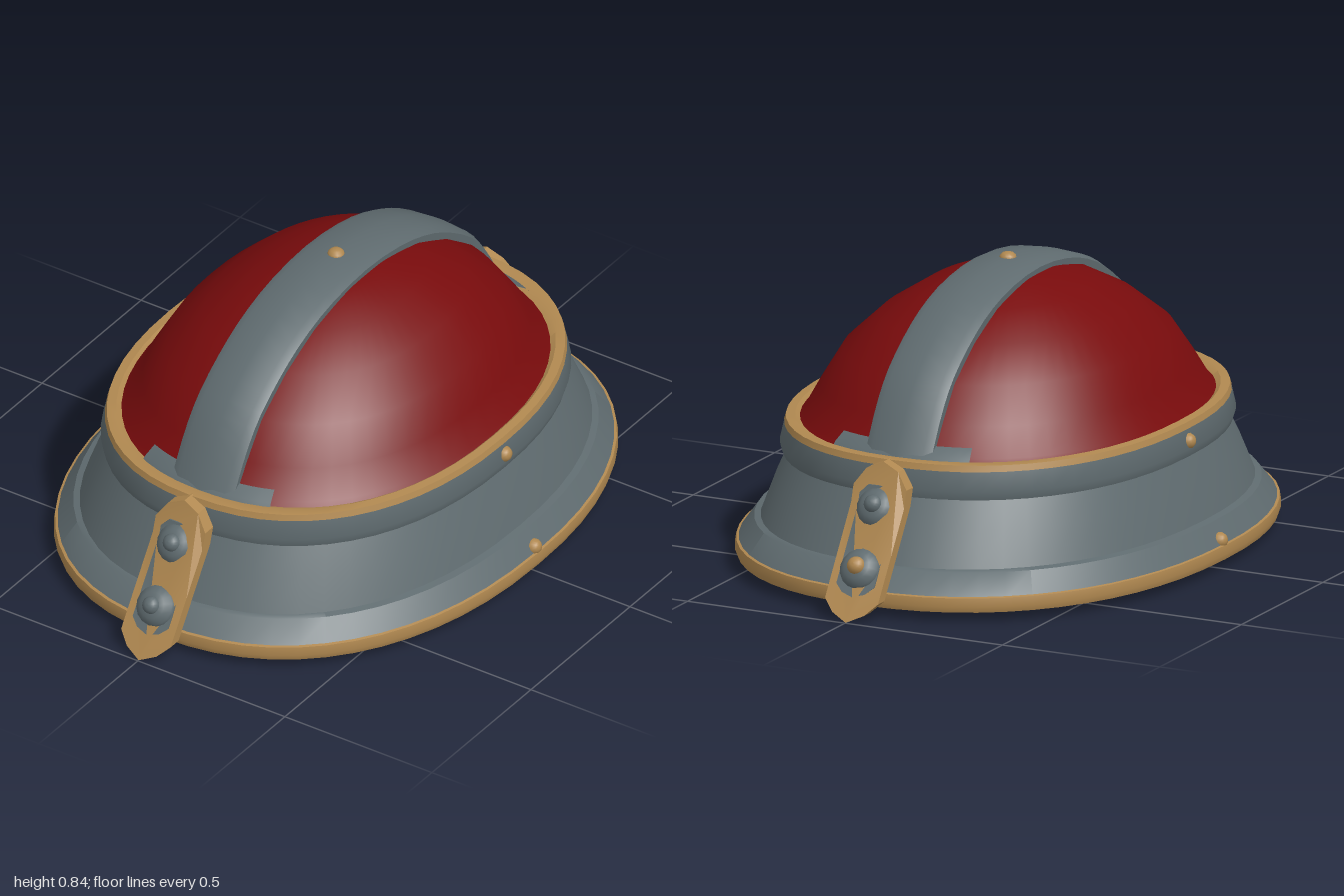
import * as THREE from 'three';
import { toCreasedNormals } from 'three/addons/utils/BufferGeometryUtils.js';

const steel = new THREE.MeshStandardMaterial({ name: 'steel', color: 0x5f6b6f });
const red = new THREE.MeshStandardMaterial({ name: 'red enamel', color: 0x780b0c });
const brass = new THREE.MeshStandardMaterial({ name: 'brass', color: 0xb08850 });
const lining = new THREE.MeshStandardMaterial({ name: 'dull lining', color: 0x5a4344 });
const steelSheet = new THREE.MeshStandardMaterial({ name: 'steel sheet', color: 0x5f6b6f, side: THREE.DoubleSide });

function add(parent, name, geometry, material) {
  const mesh = new THREE.Mesh(geometry, material);
  mesh.name = name;
  parent.add(mesh);
  return mesh;
}

// Skin a grid of rows; every row has the same number of [x, y, z] points
function skin(rows, crease = 0.6) {
  const cols = rows[0].length, index = [];
  for (let k = 0; k < rows.length - 1; k++) {
    for (let i = 0; i < cols - 1; i++) {
      const a = k * cols + i, c = a + cols;
      index.push(a, c, a + 1, a + 1, c, c + 1);
    }
  }
  const g = new THREE.BufferGeometry();
  g.setAttribute('position', new THREE.Float32BufferAttribute(rows.flat(2), 3));
  g.setIndex(index);
  return toCreasedNormals(g, crease);
}

// Oval loft through rings [half width, half length, height]
function oval(rings, from = 0, to = Math.PI * 2, segments = 56) {
  const bulge = (v) => Math.sign(v) * Math.abs(v) ** 0.89;
  return skin(rings.map(([rx, rz, y]) => {
    const row = [];
    for (let i = 0; i <= segments; i++) {
      const a = from + (to - from) * i / segments;
      row.push([rx * bulge(Math.cos(a)), y, rz * bulge(Math.sin(a))]);
    }
    return row;
  }));
}

// Domed rivet pointing up +y
function rivet(radius, height) {
  const pts = [[1, 0], [0.95, 0.4], [0.65, 0.82], [0.3, 0.97], [0.001, 1]];
  return new THREE.LatheGeometry(pts.map(([r, y]) => new THREE.Vector2(r * radius, y * height)), 16);
}

// Outer face of the badge plate, as depth for a height
function plateZ(y) {
  return y > 0.3 ? 0.8 - (y - 0.3) * 0.3 : 1 - y * 0.667;
}

// Plate outline with pointed ends, extruded and leaned along the plate slope
function plate(half, low, lowShoulder, highShoulder, high, depth, lift) {
  const ys = [lowShoulder, 0.18, 0.3, highShoulder];
  const s = new THREE.Shape();
  s.moveTo(0, low);
  s.lineTo(half * 0.6, (low + lowShoulder) / 2 - 0.005);
  ys.forEach((y) => s.lineTo(half, y));
  s.lineTo(half * 0.6, (high + highShoulder) / 2 + 0.012);
  s.lineTo(0, high);
  s.lineTo(-half * 0.6, (high + highShoulder) / 2 + 0.012);
  ys.reverse().forEach((y) => s.lineTo(-half, y));
  s.lineTo(-half * 0.6, (low + lowShoulder) / 2 - 0.005);
  const g = new THREE.ExtrudeGeometry(s, { depth, bevelEnabled: false });
  const p = g.attributes.position;
  for (let i = 0; i < p.count; i++) {
    p.setZ(i, p.getZ(i) - depth + plateZ(p.getY(i)) + lift);
  }
  return toCreasedNormals(g, 0.5);
}

export function createModel() {
  const model = new THREE.Group();
  model.name = 'helmet';

  // Dome and its inside
  const dome = [[1.04, 0.4], [1, 0.42], [0.92, 0.5], [0.81, 0.6], [0.63, 0.69],
    [0.43, 0.757], [0.22, 0.797], [0.001, 0.81]];
  add(model, 'dome', oval(dome.map(([t, y]) => [0.525 * t, 0.665 * t, y])), red);
  add(model, 'domeLining', oval(dome.map(([t, y]) => [0.505 * t, 0.645 * t, y - 0.02]).reverse()), lining);

  // Flared skirt, inner wall and headband
  add(model, 'skirt', oval([[0.69, 0.9, 0.07], [0.645, 0.845, 0.135], [0.625, 0.832, 0.14],
    [0.59, 0.785, 0.24], [0.553, 0.735, 0.33]]), steel);
  add(model, 'innerWall', oval([[0.525, 0.671, 0.38], [0.535, 0.71, 0.32], [0.6, 0.8, 0.14],
    [0.65, 0.86, 0.045]]), steel);
  add(model, 'headband', oval([[0.54, 0.725, 0.315], [0.575, 0.745, 0.32], [0.583, 0.75, 0.345],
    [0.57, 0.735, 0.405]]), steel);

  // Brass trims
  add(model, 'skirtTrim', oval([[0.65, 0.86, 0.05], [0.655, 0.865, 0.033], [0.69, 0.9, 0.033],
    [0.696, 0.906, 0.05], [0.692, 0.902, 0.075], [0.675, 0.885, 0.08]]), brass);
  add(model, 'headbandTrim', oval([[0.572, 0.737, 0.4], [0.567, 0.732, 0.418], [0.542, 0.705, 0.42],
    [0.525, 0.67, 0.405]]), brass);

  // Raised crest strap over the dome, front to back
  const half = [[0.7, 0.4], [0.69, 0.42], [0.62, 0.545], [0.55, 0.63], [0.44, 0.712], [0.33, 0.77], [0.19, 0.813]];
  const path = new THREE.CatmullRomCurve3([...half, [0, 0.833], ...half.map(([z, y]) => [-z, y]).reverse()]
    .map(([z, y]) => new THREE.Vector3(0, y, z)));
  const section = [[-0.102, -0.06], [-0.104, -0.018], [-0.08, -0.006], [0, 0],
    [0.08, -0.006], [0.104, -0.018], [0.102, -0.06]];
  const rows = [];
  for (let k = 0; k <= 32; k++) {
    const p = path.getPoint(k / 32), t = path.getTangent(k / 32);
    rows.push(section.map(([x, d]) => [x, p.y - t.z * d, p.z + t.y * d]));
  }
  add(model, 'crestStrap', skin(rows), steelSheet);

  // Spread feet of the strap
  for (const a of [Math.PI / 2, -Math.PI / 2]) {
    add(model, 'strapFoot', oval([[0.553, 0.7, 0.405], [0.54, 0.685, 0.425], [0.515, 0.65, 0.448]],
      a - 0.36, a + 0.36, 12), steelSheet);
  }

  // Riveted badge plates at front and back
  for (const back of [false, true]) {
    const badge = new THREE.Group();
    badge.name = back ? 'backBadge' : 'frontBadge';
    badge.rotation.y = back ? Math.PI : 0;
    add(badge, 'badgePlate', plate(0.084, 0.005, 0.06, 0.35, 0.42, 0.04, 0), brass);
    add(badge, 'badgeInset', plate(0.06, 0.07, 0.1, 0.33, 0.355, 0.008, 0.004), steel);
    for (const y of [0.14, 0.295]) {
      const boss = new THREE.Group();
      boss.name = 'badgeBoss';
      boss.position.set(0, y, plateZ(y));
      boss.rotation.x = 0.98;
      add(boss, 'bossDome', rivet(0.06, 0.035), steel);
      add(boss, 'bossKnob', rivet(0.026, 0.024), back && y < 0.2 ? brass : steel).position.y = 0.03;
      badge.add(boss);
    }
    model.add(badge);
  }

  // Small brass rivets on both sides and on the crown
  for (const side of [-1, 1]) {
    for (const [x, y] of [[0.572, 0.365], [0.673, 0.087]]) {
      const r = add(model, 'sideRivet', rivet(0.023, 0.022), brass);
      r.position.set(side * x, y, 0);
      r.rotation.z = -side * 1.3;
    }
  }
  add(model, 'crownRivet', rivet(0.024, 0.016), brass).position.y = 0.83;

  return model;
}
